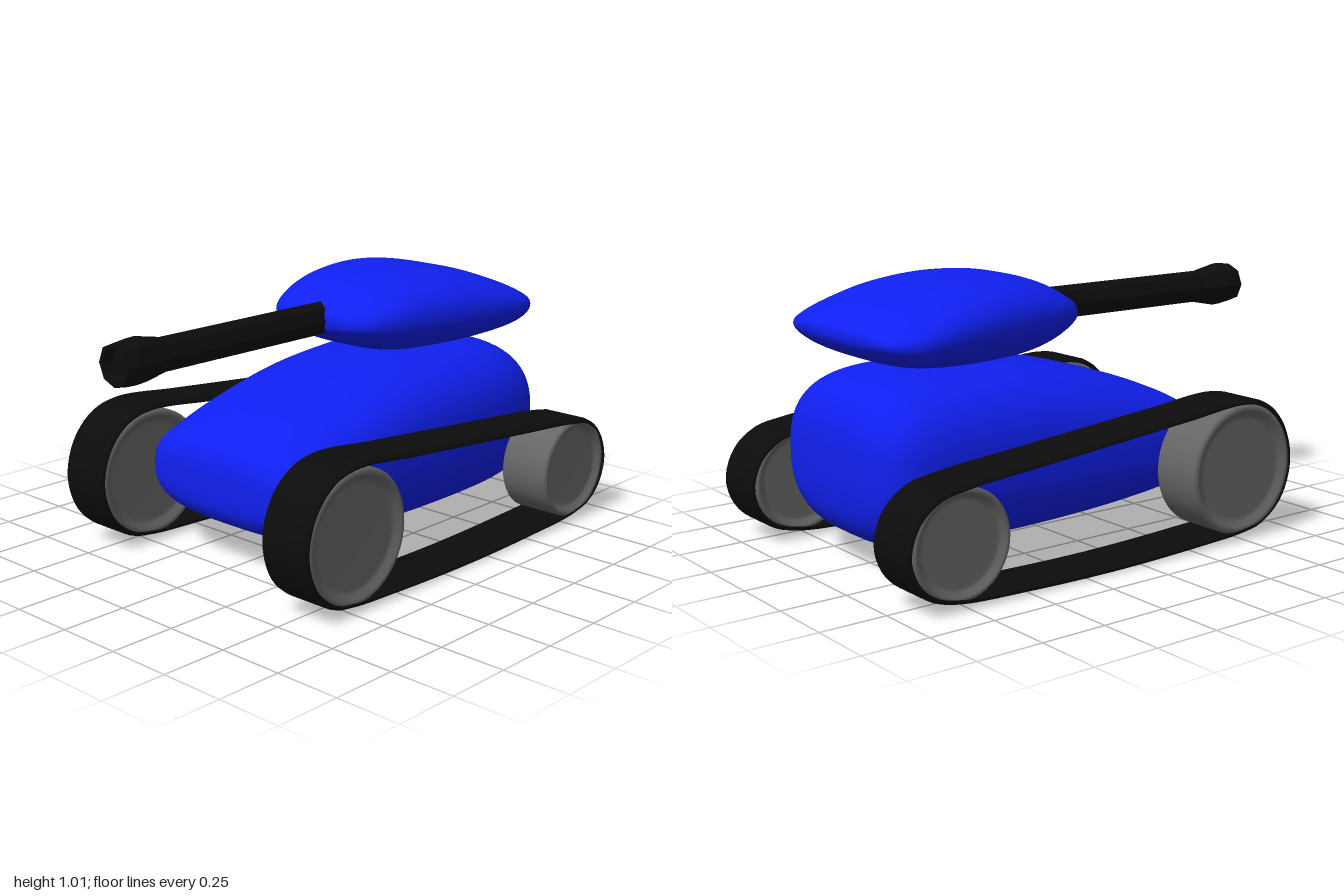
import * as THREE from 'three';

const paint = (color, extra = {}) => new THREE.MeshStandardMaterial({ color, ...extra });

function addMesh(parent, name, geometry, material) {
  const mesh = new THREE.Mesh(geometry, material);
  mesh.name = name;
  parent.add(mesh);
  return mesh;
}

// Skin a series of closed rings; loop joins the last ring to the first
function skin(rings, loop = false) {
  const n = rings[0].length, count = rings.length, index = [];
  for (let i = 0; i < (loop ? count : count - 1); i++) {
    for (let j = 0; j < n; j++) {
      const k = (j + 1) % n, next = ((i + 1) % count) * n;
      const a = i * n + j, b = i * n + k, c = next + j, d = next + k;
      index.push(a, c, b, b, c, d);
    }
  }
  const g = new THREE.BufferGeometry();
  g.setAttribute('position', new THREE.Float32BufferAttribute(rings.flat(2), 3));
  g.setIndex(index);
  g.computeVertexNormals();
  return g;
}

// Soft pillow-like hull from stations [z, bottom, top, halfWidth], front to back
function softHull(stations, powX, powY) {
  const heights = new THREE.CatmullRomCurve3(
    stations.map(([z, b, t]) => new THREE.Vector3(z, b, t)), false, 'catmullrom');
  const widths = new THREE.CatmullRomCurve3(
    stations.map(s => new THREE.Vector3(s[3], 0, 0)), false, 'catmullrom');
  const steps = (stations.length - 1) * 5, sides = 64, rings = [];
  const bend = (v, p) => Math.sign(v) * Math.abs(v) ** (2 / p);
  for (let i = 0; i <= steps; i++) {
    const { x: z, y: bottom, z: top } = heights.getPoint(i / steps);
    const w = Math.max(widths.getPoint(i / steps).x, 0.0005);
    const ring = [];
    for (let j = 0; j < sides; j++) {
      const a = (j / sides) * Math.PI * 2;
      ring.push([
        w * bend(Math.cos(a), powX),
        (top + bottom) / 2 + ((top - bottom) / 2) * bend(Math.sin(a), powY),
        z,
      ]);
    }
    rings.push(ring);
  }
  return skin(rings);
}

// Thin belt with softened outer edges swept round a closed side outline
function trackBelt(outline) {
  const path = new THREE.CatmullRomCurve3(
    outline.map(([z, y]) => new THREE.Vector3(0, y, z)), true);
  const section = [
    [0.105, -0.02], [0.105, -0.012], [0.095, -0.003], [0.08, 0],
    [-0.08, 0], [-0.095, -0.003], [-0.105, -0.012], [-0.105, -0.02],
  ];
  const rings = [], steps = 140;
  for (let i = 0; i < steps; i++) {
    const p = path.getPointAt(i / steps), t = path.getTangentAt(i / steps);
    rings.push(section.map(([x, out]) => [x, p.y - t.z * out, p.z + t.y * out]));
  }
  return skin(rings, true);
}

// Dished road wheel, axle along x
function wheelGeometry(r) {
  const half = [[r, 0.095], [r * 0.96, 0.104], [r * 0.9, 0.102], [r * 0.83, 0.088], [r * 0.75, 0.085], [0, 0.085]];
  const profile = [
    ...half.slice().reverse().map(([x, y]) => new THREE.Vector2(x, -y)),
    ...half.map(([x, y]) => new THREE.Vector2(x, y)),
  ];
  return new THREE.LatheGeometry(profile, 48).rotateZ(-Math.PI / 2);
}

export function createModel() {
  const model = new THREE.Group();
  model.name = 'tank';
  const blue = paint(0x1020f0), grey = paint(0x666666);
  const black = paint(0x0c0c0c);
  const blackFaceted = paint(0x0c0c0c, { flatShading: true });

  // Hull
  addMesh(model, 'hull', softHull([
    [0.555, 0.33, 0.33, 0],
    [0.553, 0.27, 0.39, 0.22],
    [0.54, 0.22, 0.44, 0.33],
    [0.5, 0.175, 0.485, 0.385],
    [0.41, 0.14, 0.53, 0.402],
    [0.25, 0.112, 0.59, 0.41],
    [0, 0.09, 0.657, 0.415],
    [-0.25, 0.08, 0.69, 0.415],
    [-0.5, 0.08, 0.7, 0.412],
    [-0.7, 0.09, 0.69, 0.4],
    [-0.82, 0.12, 0.65, 0.37],
    [-0.885, 0.19, 0.58, 0.31],
    [-0.91, 0.29, 0.49, 0.2],
    [-0.914, 0.39, 0.39, 0],
  ], 3.2, 2.7), blue);

  // Turret
  addMesh(model, 'turret', softHull([
    [0.05, 0.86, 0.86, 0],
    [0.046, 0.835, 0.885, 0.13],
    [0.03, 0.815, 0.905, 0.2],
    [-0.01, 0.787, 0.933, 0.25],
    [-0.1, 0.745, 0.977, 0.295],
    [-0.22, 0.716, 1.007, 0.325],
    [-0.4, 0.708, 1.014, 0.36],
    [-0.58, 0.713, 0.99, 0.384],
    [-0.72, 0.732, 0.945, 0.389],
    [-0.81, 0.763, 0.907, 0.362],
    [-0.86, 0.8, 0.88, 0.305],
    [-0.878, 0.825, 0.865, 0.2],
    [-0.882, 0.845, 0.845, 0],
  ], 3, 2.2), blue);

  // Gun barrel with flared, hollow muzzle
  const barrelProfile = [
    [0, -0.1], [0.063, -0.1], [0.063, 0.8], [0.085, 0.91], [0.083, 0.95], [0.076, 1], [0.06, 1], [0.055, 0.96], [0, 0.96],
  ].map(([r, z]) => new THREE.Vector2(r, z));
  const barrel = addMesh(model, 'gunBarrel',
    new THREE.LatheGeometry(barrelProfile, 8).rotateX(Math.PI / 2), blackFaceted);
  barrel.position.y = 0.86;

  // Tracks and wheels, one set per side
  const belt = trackBelt([
    [0.5, 0.54], [0.2, 0.517], [0, 0.499], [-0.4, 0.463], [-0.75, 0.43], [-0.87, 0.405],
    [-0.96, 0.335], [-1, 0.22], [-0.967, 0.115], [-0.9, 0.055], [-0.8, 0.025],
    [-0.5, 0.008], [-0.1, 0.002], [0.3, 0.013], [0.5, 0.025], [0.6, 0.047],
    [0.7, 0.13], [0.745, 0.27], [0.71, 0.41], [0.62, 0.505],
  ]);
  const frontWheel = wheelGeometry(0.245), rearWheel = wheelGeometry(0.195);
  for (const [side, label] of [[1, 'left'], [-1, 'right']]) {
    const unit = new THREE.Group();
    unit.name = label + 'TrackUnit';
    unit.position.x = side * 0.52;
    addMesh(unit, label + 'Track', belt, black);
    addMesh(unit, label + 'FrontWheel', frontWheel, grey).position.set(0, 0.275, 0.485);
    addMesh(unit, label + 'RearWheel', rearWheel, grey).position.set(0, 0.225, -0.78);
    model.add(unit);
  }
  return model;
}
